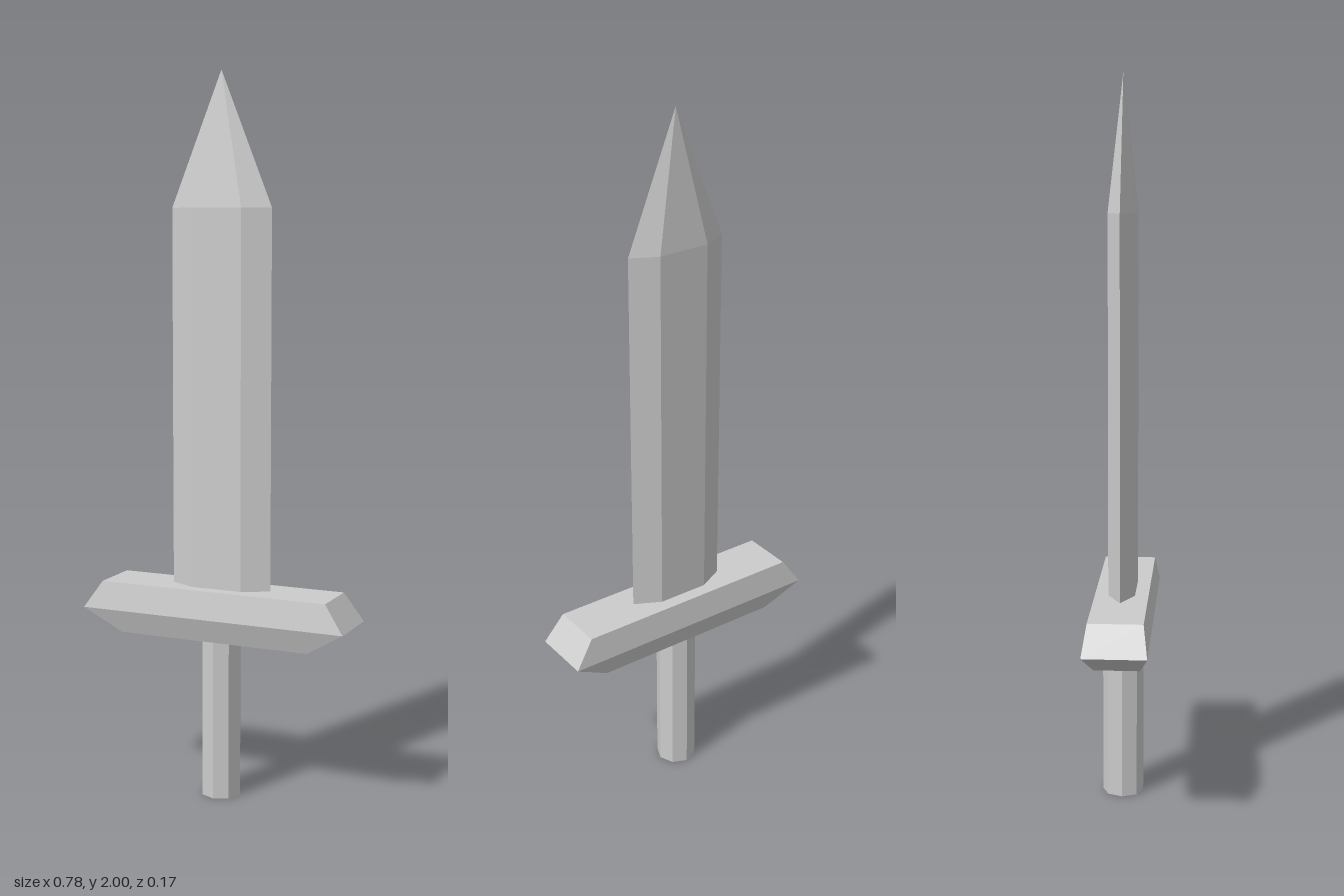
import * as THREE from 'three';

const steel = new THREE.MeshStandardMaterial({ color: 0xcccccc, flatShading: true });
steel.name = 'steel grey';

// Tapered prism between two heights, its round section stretched to x and z radii
function prism(name, { sides, turn = 0, y0, y1, bottom = 1, top = 1, rx, rz }) {
  const geometry = new THREE.CylinderGeometry(top, bottom, y1 - y0, sides)
    .rotateY(turn)
    .scale(rx, 1, rz)
    .translate(0, (y0 + y1) / 2, 0);
  const mesh = new THREE.Mesh(geometry, steel);
  mesh.name = name;
  return mesh;
}

export function createModel() {
  const sword = new THREE.Group();
  sword.name = 'sword';

  // Octagonal grip
  sword.add(prism('grip', { sides: 8, y0: 0, y1: 0.46, rx: 0.057, rz: 0.057 }));

  // Crossguard: two four-sided frustums meeting at the widest line
  const guard = new THREE.Group();
  guard.name = 'crossguard';
  const block = { sides: 4, turn: Math.PI / 4, rx: 0.389 * Math.SQRT2, rz: 0.086 * Math.SQRT2 };
  guard.add(
    prism('lowerGuard', { ...block, y0: 0.45, y1: 0.517, bottom: 0.72 }),
    prism('upperGuard', { ...block, y0: 0.517, y1: 0.595, top: 0.86 }),
  );
  sword.add(guard);

  // Flattened hexagonal blade with a pointed tip
  const blade = new THREE.Group();
  blade.name = 'blade';
  const hexagon = { sides: 6, turn: Math.PI / 2, rx: 0.147, rz: 0.0425 };
  blade.add(
    prism('bladeBody', { ...hexagon, y0: 0.56, y1: 1.637 }),
    prism('bladeTip', { ...hexagon, y0: 1.637, y1: 2, top: 0 }),
  );
  sword.add(blade);

  return sword;
}
